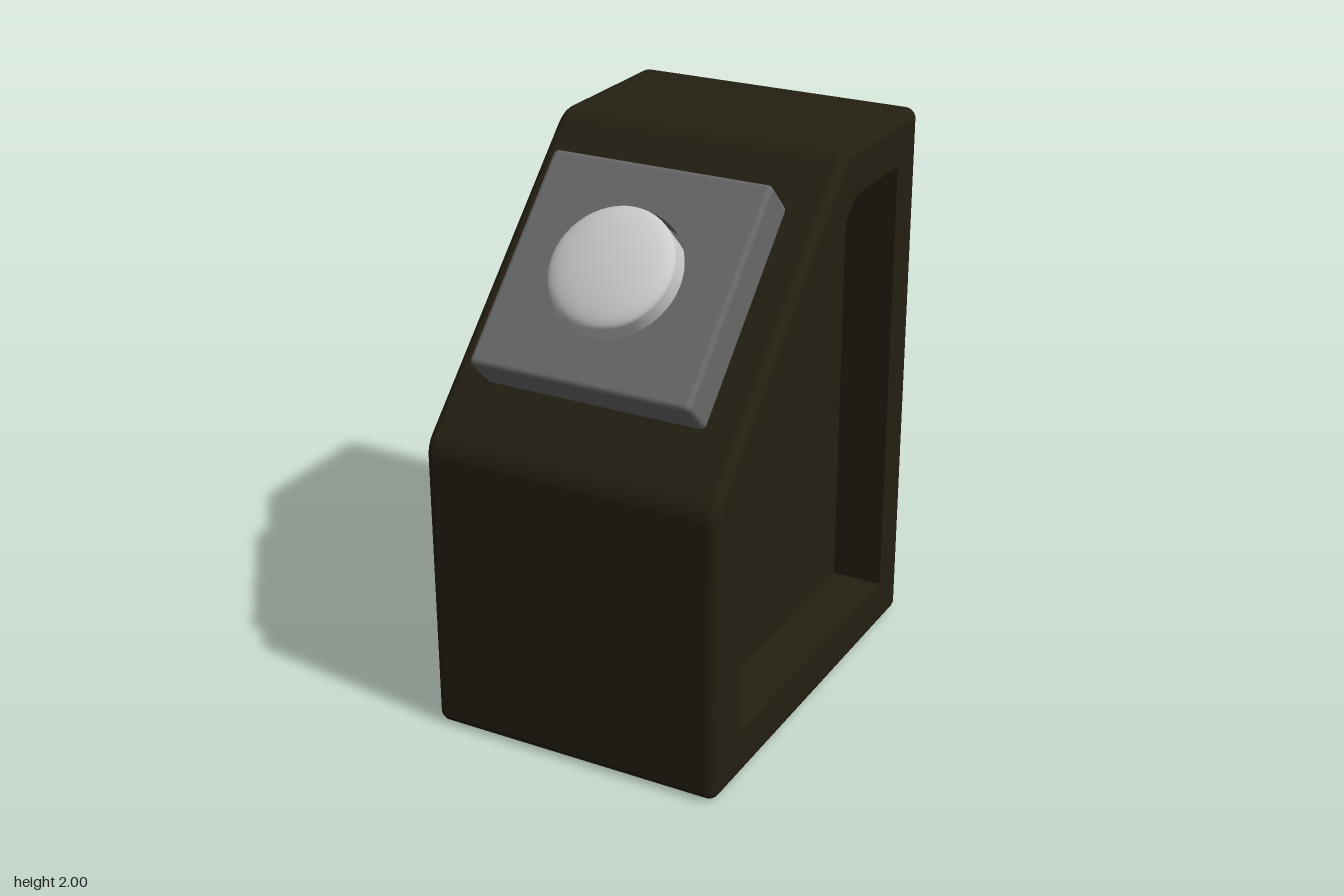
import * as THREE from 'three';
import { mergeGeometries } from 'three/addons/utils/BufferGeometryUtils.js';

const V = (x, y) => new THREE.Vector2(x, y);

// Fillet every corner of a CCW polygon; returns centre, radius and direction per point.
function filletOutline(corners, radii, steps = 6) {
  const out = [];
  const n = corners.length;
  corners.forEach((p, i) => {
    const d1 = p.clone().sub(corners[(i + n - 1) % n]).normalize();
    const d2 = corners[(i + 1) % n].clone().sub(p).normalize();
    const n1 = V(d1.y, -d1.x), n2 = V(d2.y, -d2.x);
    const c = p.clone().sub(n1.clone().add(n2).multiplyScalar(radii[i] / (1 + n1.dot(n2))));
    const a = Math.atan2(n1.y, n1.x), turn = Math.acos(n1.dot(n2));
    for (let k = 0; k <= steps; k++) {
      const t = a + turn * k / steps;
      out.push({ c, r: radii[i], d: V(Math.cos(t), Math.sin(t)) });
    }
  });
  return out;
}

// Flat end face at height z, with an optional sharp-edged recess.
function endFace(ring, hole, z, depth) {
  const shape = new THREE.Shape(ring);
  const parts = [];
  if (hole) {
    shape.holes.push(new THREE.Path(hole));
    parts.push(new THREE.ShapeGeometry(new THREE.Shape(hole)).translate(0, 0, z - depth));
    const pos = [];
    hole.forEach((p, i) => {
      const q = hole[(i + 1) % hole.length], b = z - depth;
      pos.push(p.x, p.y, z, q.x, q.y, z, p.x, p.y, b);
      pos.push(q.x, q.y, z, q.x, q.y, b, p.x, p.y, b);
    });
    const walls = new THREE.BufferGeometry();
    walls.setAttribute('position', new THREE.Float32BufferAttribute(pos, 3));
    walls.computeVertexNormals();
    parts.push(walls);
  }
  parts.push(new THREE.ShapeGeometry(shape).translate(0, 0, z));
  return parts.map((g) => {
    g.deleteAttribute('uv');
    return g.index ? g.toNonIndexed() : g;
  });
}

// Prism along z with rounded edges and a recess of its own depth in each end.
function roundedPrism(corners, radii, half, edge, hole, frontDepth, backDepth) {
  const outline = filletOutline(corners, radii);
  const n = outline.length, pos = [], nor = [], idx = [];
  const arc = 6;
  const rows = [];
  for (let k = 0; k <= arc; k++) rows.push([-1, -Math.PI / 2 * (1 - k / arc)]);
  for (let k = 0; k <= arc; k++) rows.push([1, Math.PI / 2 * k / arc]);
  rows.forEach(([side, phi], i) => {
    const cos = Math.cos(phi), sin = Math.sin(phi);
    outline.forEach(({ c, r, d }, j) => {
      const rr = r - edge * (1 - cos);
      pos.push(c.x + d.x * rr, c.y + d.y * rr, side * (half - edge) + edge * sin);
      nor.push(d.x * cos, d.y * cos, sin);
      if (i === rows.length - 1) return;
      const a = i * n + j, b = i * n + (j + 1) % n;
      idx.push(a, b, a + n, b, b + n, a + n);
    });
  });
  const sides = new THREE.BufferGeometry();
  sides.setAttribute('position', new THREE.Float32BufferAttribute(pos, 3));
  sides.setAttribute('normal', new THREE.Float32BufferAttribute(nor, 3));
  sides.setIndex(idx);

  const ring = outline.map(({ c, r, d }) => c.clone().addScaledVector(d, r - edge));
  const flip = (pts) => pts.map((p) => V(-p.x, p.y)).reverse();
  const front = endFace(ring, hole, half, frontDepth);
  const back = endFace(flip(ring), backDepth ? flip(hole) : null, half, backDepth)
    .map((g) => g.rotateY(Math.PI));
  return mergeGeometries([sides.toNonIndexed(), ...front, ...back]);
}

function part(name, geometry, color) {
  const mesh = new THREE.Mesh(geometry, new THREE.MeshStandardMaterial({ color }));
  mesh.name = name;
  return mesh;
}

export function createModel() {
  const model = new THREE.Group();
  model.name = 'buttonConsole';

  // Sloped housing: side profile drawn as (-z, y), with a recessed panel in each side
  const profile = [V(-0.765, 0), V(0.765, 0), V(0.765, 2), V(0.16, 2), V(-0.765, 1.08)];
  const panel = [V(-0.59, 0.18), V(0.59, 0.18), V(0.59, 1.83), V(0.235, 1.83), V(-0.59, 1.005)];
  const housing = roundedPrism(profile, [0.04, 0.04, 0.04, 0.12, 0.12], 0.55, 0.04, panel, 0.19, 0.11);
  model.add(part('housing', housing.rotateY(Math.PI / 2), 0x241f12));

  // Button unit lies on the 45 degree slope
  const unit = new THREE.Group();
  unit.name = 'buttonUnit';
  unit.position.set(0, 1.61, 0.3575);
  unit.rotation.x = -Math.PI / 4;
  model.add(unit);

  // Plate with a round well
  const x0 = -0.402, x1 = 0.418, h = 0.405;
  const plate = [V(x0, -h), V(x1, -h), V(x1, h), V(x0, h)];
  const well = Array.from({ length: 48 }, (_, i) => {
    const a = i / 48 * Math.PI * 2;
    return V(0.235 * Math.cos(a), 0.235 * Math.sin(a));
  });
  unit.add(part('buttonPlate', roundedPrism(plate, [0.02, 0.02, 0.02, 0.02], 0.085, 0.02, well, 0.08, 0), 0x686868));

  // Domed push button: straight stem and rounded cap
  const stem = new THREE.CylinderGeometry(0.222, 0.222, 0.125, 48, 1, true).translate(0, -0.0175, 0);
  const dome = [];
  for (let k = 0; k <= 12; k++) {
    const t = Math.PI / 2 * k / 12;
    dome.push(V(k === 12 ? 0 : 0.222 * Math.cos(t), 0.045 + 0.055 * Math.sin(t)));
  }
  const button = mergeGeometries([stem, new THREE.LatheGeometry(dome, 48)]);
  const buttonMesh = part('pushButton', button.rotateX(Math.PI / 2), 0xcccccc);
  buttonMesh.position.z = 0.085;
  unit.add(buttonMesh);

  return model;
}
